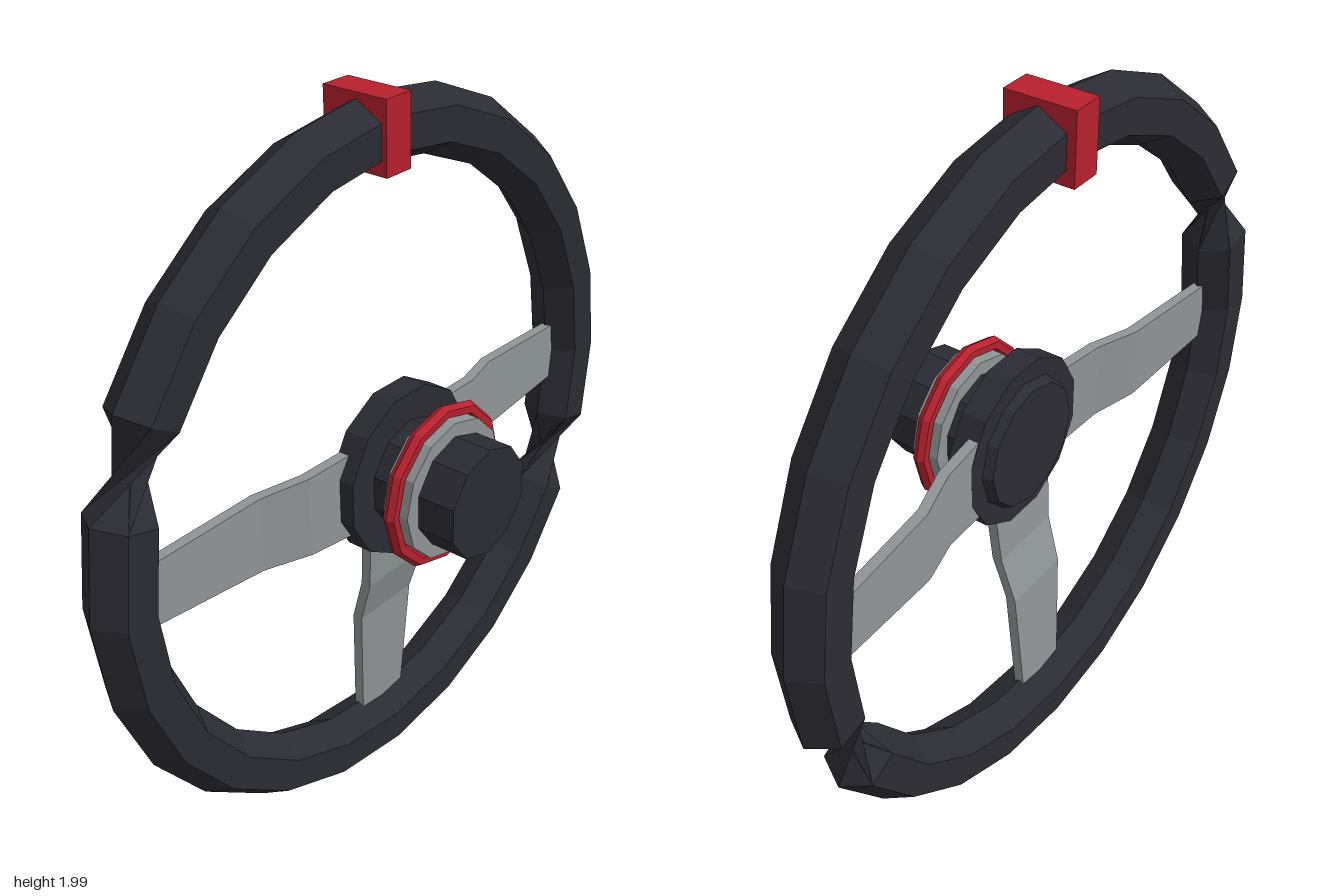
import * as THREE from 'three';

const material = (name, color) => {
  const m = new THREE.MeshStandardMaterial({ color });
  m.name = name;
  return m;
};

// Faceted copy: one normal per face
function faceted(geometry) {
  const g = geometry.index ? geometry.toNonIndexed() : geometry;
  g.computeVertexNormals();
  return g;
}

// Hexagonal grip ring whose section turns half a revolution at two places
function rimGeometry() {
  const steps = 24, sides = 6, positions = [], index = [];
  for (let j = 0; j < steps; j++) {
    const a = (j / steps) * Math.PI * 2;
    const turn = j > 10 && j < 23 ? Math.PI : 0;
    for (let i = 0; i < sides; i++) {
      const b = (i / sides) * Math.PI * 2 + turn;
      const r = 0.9 + 0.09 * Math.cos(b);
      positions.push(r * Math.cos(a), 1 + r * Math.sin(a), -0.138 + 0.09 * Math.sin(b));
    }
  }
  for (let j = 0; j < steps; j++) {
    for (let i = 0; i < sides; i++) {
      const k = (i + 1) % sides, n = ((j + 1) % steps) * sides, c = j * sides;
      index.push(c + i, n + i, n + k, c + i, n + k, c + k);
    }
  }
  const g = new THREE.BufferGeometry();
  g.setAttribute('position', new THREE.Float32BufferAttribute(positions, 3));
  g.setIndex(index);
  return faceted(g);
}

// Tapered flat bar along +x, dished back towards the rim
function spokeGeometry() {
  const path = [[0.13, -0.062], [0.335, -0.078], [0.47, -0.118], [0.84, -0.138]];
  const g = new THREE.BoxGeometry(3, 1, 0.03, 3, 1, 1);
  const p = g.attributes.position;
  for (let i = 0; i < p.count; i++) {
    const [r, z] = path[Math.round(p.getX(i) + 1.5)];
    const width = 0.25 - (r - 0.13) * 0.115;
    p.setXYZ(i, r, p.getY(i) * width, p.getZ(i) + z);
  }
  return faceted(g);
}

export function createModel() {
  const black = material('charcoal grip', 0x2b2b33);
  const grey = material('brushed grey', 0x8f9496);
  const red = material('red accent', 0xb6202d);
  const model = new THREE.Group();
  model.name = 'steeringWheel';

  const add = (name, geometry, mat, x = 0, y = 1, z = 0) => {
    const mesh = new THREE.Mesh(geometry, mat);
    mesh.name = name;
    mesh.position.set(x, y, z);
    model.add(mesh);
    return mesh;
  };

  // Disc facing +z between two depths
  const disc = (name, mat, radius, sides, back, front, backRadius = radius) => {
    const g = new THREE.CylinderGeometry(radius, backRadius, front - back, sides);
    g.rotateX(Math.PI / 2);
    return add(name, faceted(g), mat, 0, 1, (front + back) / 2);
  };

  add('rim', rimGeometry(), black, 0, 0);
  add('topMarker', new THREE.BoxGeometry(0.09, 0.19, 0.195), red, 0, 1.905, -0.1425);

  // Right, left and lower spokes
  const spoke = spokeGeometry();
  ['leftSpoke', 'rightSpoke', 'lowerSpoke'].forEach((name, i) => {
    add(name, spoke, grey).rotation.z = [0, Math.PI, -Math.PI / 2][i];
  });

  // Hub stack from back to front
  disc('hubBackCap', black, 0.19, 12, -0.11, -0.08, 0.175);
  disc('hubPlate', black, 0.24, 12, -0.085, -0.012).rotation.z = Math.PI / 12;
  disc('hubColumn', black, 0.155, 10, -0.03, 0.243);
  disc('hubCollar', grey, 0.193, 12, 0.055, 0.133);
  add('hubRing', faceted(new THREE.TorusGeometry(0.21, 0.02, 6, 12)), red, 0, 1, 0.094);

  return model;
}
